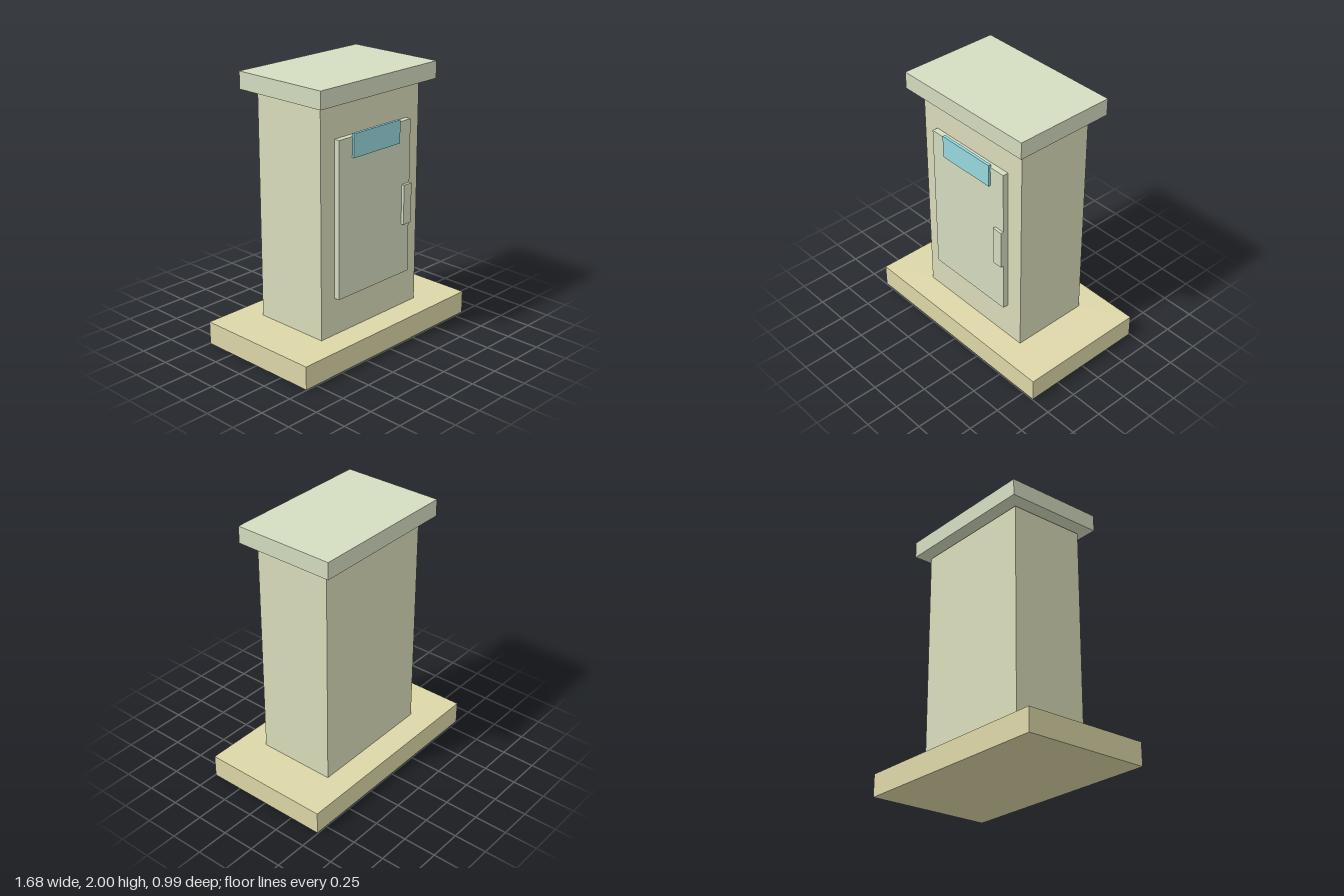
import * as THREE from 'three';

const paint = (color) => new THREE.MeshStandardMaterial({ color, flatShading: true });

export function createModel() {
  const model = new THREE.Group();
  const sand = paint(0xddd7a8);
  const cream = paint(0xdadcba);
  const sage = paint(0xd4dcc0);
  const blue = paint(0x96d8de);

  // Box given by its extent along each axis
  function block(name, material, [x0, x1], [y0, y1], [z0, z1]) {
    const mesh = new THREE.Mesh(new THREE.BoxGeometry(x1 - x0, y1 - y0, z1 - z0), material);
    mesh.position.set((x0 + x1) / 2, (y0 + y1) / 2, (z0 + z1) / 2);
    mesh.name = name;
    model.add(mesh);
  }

  // Wide plinth, tall cabin and a roof slab floating just above it
  block('base', sand, [-0.84, 0.84], [0, 0.173], [-0.495, 0.495]);
  block('cabin', cream, [-0.495, 0.495], [0.173, 1.853], [-0.3, 0.3]);
  block('roof', sage, [-0.58, 0.58], [1.873, 2], [-0.387, 0.387]);

  // Door panel with handle and window plate on the front
  block('door', sage, [-0.363, 0.363], [0.455, 1.614], [0.3, 0.343]);
  block('handle', sage, [0.282, 0.363], [0.841, 1.143], [0.343, 0.365]);
  block('window', blue, [-0.235, 0.235], [1.465, 1.636], [0.338, 0.36]);

  return model;
}
